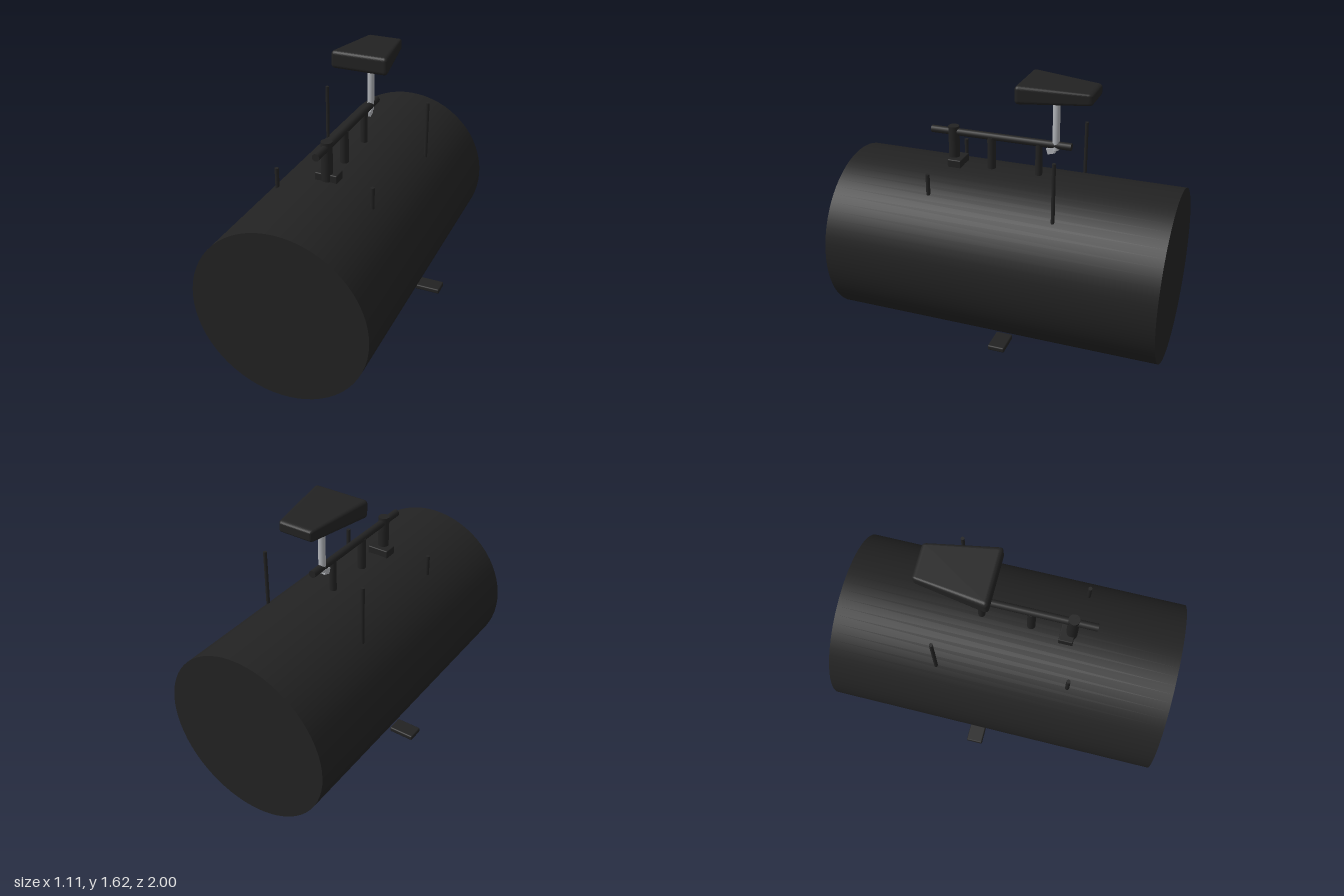
import * as THREE from 'three';
import { RoundedBoxGeometry } from 'three/addons/geometries/RoundedBoxGeometry.js';

export function createModel() {
  const model = new THREE.Group();
  const makeMaterial = (name, color) => {
    const m = new THREE.MeshStandardMaterial({ color });
    m.name = name;
    return m;
  };
  const black = makeMaterial('matte black', 0x222222);
  const steel = makeMaterial('brushed steel', 0xb0b3b8);

  const add = (name, geometry, material, x, y, z) => {
    const mesh = new THREE.Mesh(geometry, material);
    mesh.name = name;
    mesh.position.set(x, y, z);
    model.add(mesh);
    return mesh;
  };
  // Upright round bar between two heights
  const bar = (name, r, y0, y1, x, z, material = black, sides = 16) =>
    add(name, new THREE.CylinderGeometry(r, r, y1 - y0, sides), material, x, (y0 + y1) / 2, z);

  // Large drum lying along z
  add('drum', new THREE.CylinderGeometry(0.518, 0.518, 2, 64).rotateX(Math.PI / 2), black, 0, 0.521, 0);

  // Horizontal rail with its supports
  add('rail', new THREE.CylinderGeometry(0.022, 0.022, 0.865, 16).rotateX(Math.PI / 2), black, 0, 1.238, 0.072);
  bar('frontColumn', 0.033, 1.02, 1.273, 0, 0.365);
  bar('middleSupport', 0.025, 1.02, 1.235, 0, 0.127);
  bar('rearSupport', 0.021, 1.02, 1.235, 0, -0.166);
  add('columnBase', new RoundedBoxGeometry(0.135, 0.07, 0.085, 2, 0.006), black, 0, 1.046, 0.342);

  // Seat post and its tilted clamp
  bar('seatPost', 0.021, 1.21, 1.54, 0, -0.267, steel);
  const clamp = add('seatClamp', new THREE.BoxGeometry(0.035, 0.035, 0.045), steel, 0, 1.203, -0.24);
  clamp.rotation.x = 0.3;

  // Seat: rounded block narrowing and thinning towards the back
  const seat = new RoundedBoxGeometry(0.354, 0.11, 0.428, 5, 0.025);
  const p = seat.attributes.position;
  for (let i = 0; i < p.count; i++) {
    const t = 0.5 - p.getZ(i) / 0.428;
    p.setX(i, p.getX(i) * (1 - 0.4 * t));
    p.setY(i, p.getY(i) * (1 - 0.4 * t) - 0.003 * t);
  }
  seat.computeVertexNormals();
  add('seat', seat, black, 0, 1.567, -0.285);

  // Paired rods and foot pads
  for (const [side, s] of [['left', 1], ['right', -1]]) {
    bar(side + 'TallRod', 0.011, 0.905, 1.27, s * 0.33, -0.358, black, 12);
    bar(side + 'ShortRod', 0.012, 0.945, 1.073, s * 0.29, 0.41, black, 12);
    add(side + 'FootPad', new RoundedBoxGeometry(0.154, 0.03, 0.1, 2, 0.008), black, s * 0.478, 0.157, -0.1);
  }
  return model;
}
